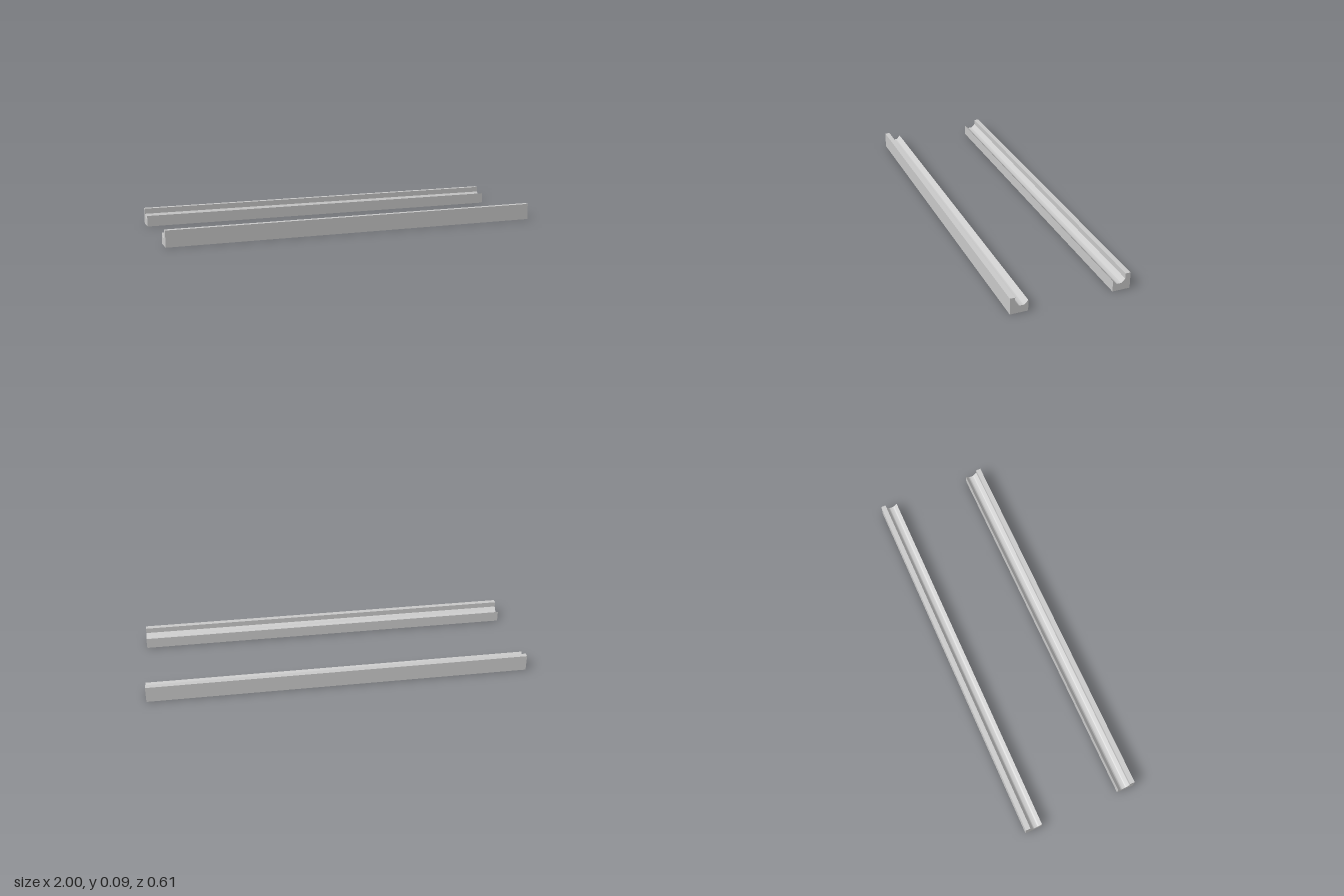
import * as THREE from 'three';
import { toCreasedNormals } from 'three/addons/utils/BufferGeometryUtils.js';

const LENGTH = 2;

// Rail cross-section: shape x is the distance from the centre line, y is up
function railProfile() {
  const s = new THREE.Shape();
  s.moveTo(0.216, 0);
  s.lineTo(0.307, 0);
  s.lineTo(0.307, 0.085);
  s.lineTo(0.281, 0.085);
  s.lineTo(0.281, 0.057);
  // rounded groove with sloping flanks
  s.lineTo(0.265, 0.041);
  s.quadraticCurveTo(0.261, 0.037, 0.254, 0.037);
  s.lineTo(0.243, 0.037);
  s.quadraticCurveTo(0.236, 0.037, 0.232, 0.041);
  s.lineTo(0.216, 0.057);
  s.closePath();
  return s;
}

export function createModel() {
  const model = new THREE.Group();
  model.name = 'groovedRailPair';
  const material = new THREE.MeshStandardMaterial({ color: 0xcccccc });

  // Extrude along the length, then turn so the length lies on x
  const extruded = new THREE.ExtrudeGeometry(railProfile(), {
    depth: LENGTH, bevelEnabled: false, curveSegments: 6,
  });
  extruded.translate(0, 0, -LENGTH / 2);
  extruded.rotateY(-Math.PI / 2);
  const geometry = toCreasedNormals(extruded, Math.PI / 6);

  // Two rails facing each other
  for (const [name, turn] of [['frontRail', 0], ['backRail', Math.PI]]) {
    const rail = new THREE.Mesh(geometry, material);
    rail.name = name;
    rail.rotation.y = turn;
    model.add(rail);
  }
  return model;
}
